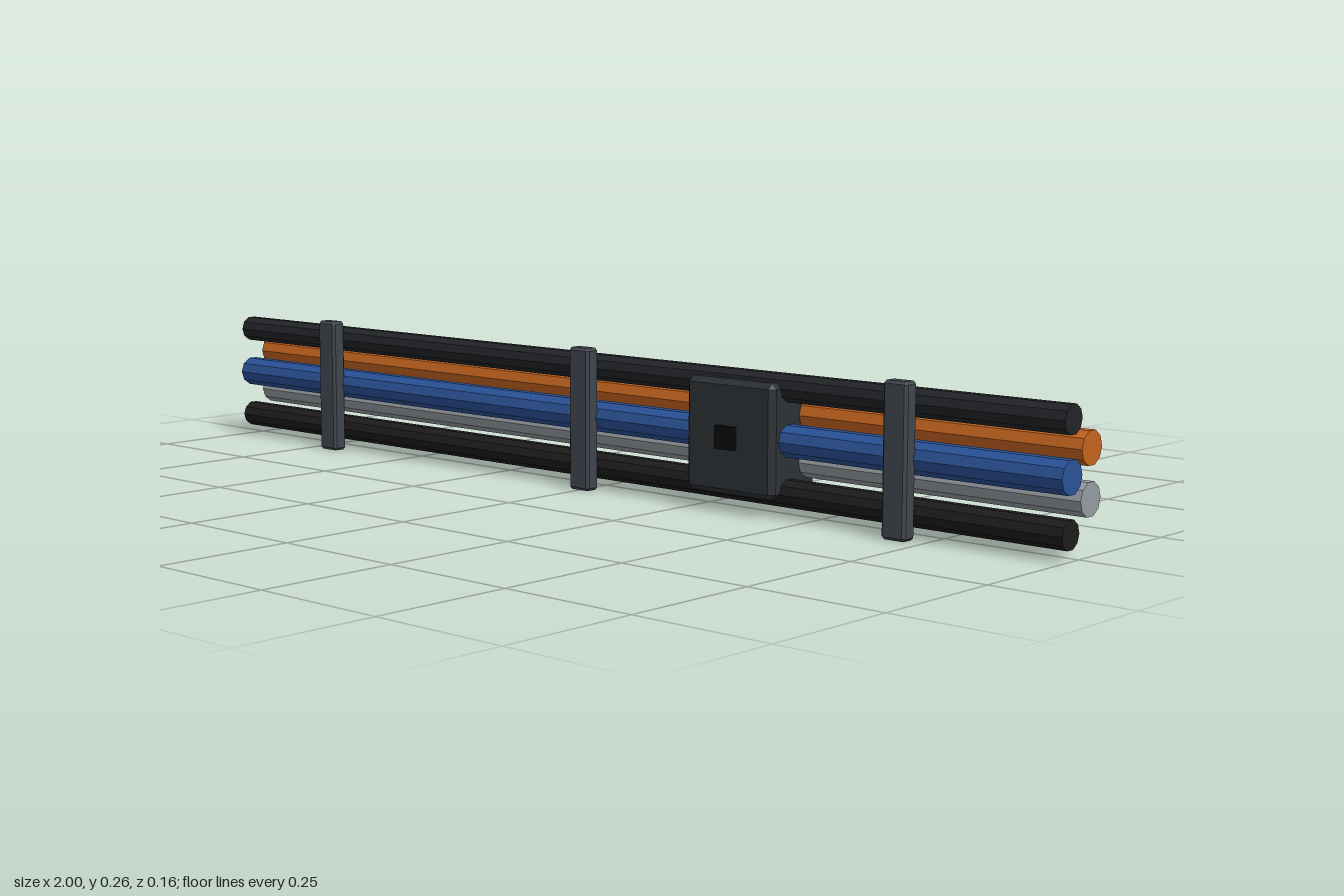
import * as THREE from 'three';
import { ConvexGeometry } from 'three/addons/geometries/ConvexGeometry.js';

// Box with every edge cut by a chamfer c
function chamferBox(w, h, d, c) {
  const pts = [];
  for (const sx of [-1, 1]) for (const sy of [-1, 1]) for (const sz of [-1, 1]) {
    for (let axis = 0; axis < 3; axis++) {
      const p = [w / 2 - c, h / 2 - c, d / 2 - c];
      p[axis] += c;
      pts.push(new THREE.Vector3(p[0] * sx, p[1] * sy, p[2] * sz));
    }
  }
  return new ConvexGeometry(pts);
}

export function createModel() {
  const model = new THREE.Group();
  const mat = (color) => new THREE.MeshStandardMaterial({ color, flatShading: true });
  const strapMat = mat(0x40454d), boxMat = mat(0x2d3136), knobMat = mat(0x0b0b0c);

  function add(name, geometry, material, x, y, z) {
    const mesh = new THREE.Mesh(geometry, material);
    mesh.name = name;
    mesh.position.set(x, y, z);
    model.add(mesh);
  }

  // Five parallel pipes: name, radius, y, z, colour
  const pipes = [
    ['upperBlackPipe', 0.025, 0.222, 0.025, 0x222427],
    ['orangePipe', 0.029, 0.172, -0.03, 0xc4641f],
    ['bluePipe', 0.029, 0.132, 0.025, 0x2a5298],
    ['greyPipe', 0.029, 0.091, -0.03, 0x969ba1],
    ['lowerBlackPipe', 0.025, 0.042, 0.025, 0x1e1c1c],
  ];
  for (const [name, r, y, z, color] of pipes) {
    add(name, new THREE.CylinderGeometry(r, r, 2, 10).rotateZ(Math.PI / 2), mat(color), 0, y, z);
  }

  // Front straps with a wall mount block behind each
  for (const x of [-0.7, 0, 0.7]) {
    add('strap', chamferBox(0.048, 0.26, 0.03, 0.005), strapMat, x, 0.13, 0.06);
    add('mountBlock', new THREE.BoxGeometry(0.05, 0.05, 0.05), strapMat, x, 0.132, -0.055);
  }

  // Junction box with a square knob on its front
  add('junctionBox', chamferBox(0.195, 0.2, 0.12, 0.01), boxMat, 0.35, 0.132, 0.01);
  add('knob', new THREE.BoxGeometry(0.04, 0.04, 0.02), knobMat, 0.348, 0.132, 0.071);

  return model;
}
